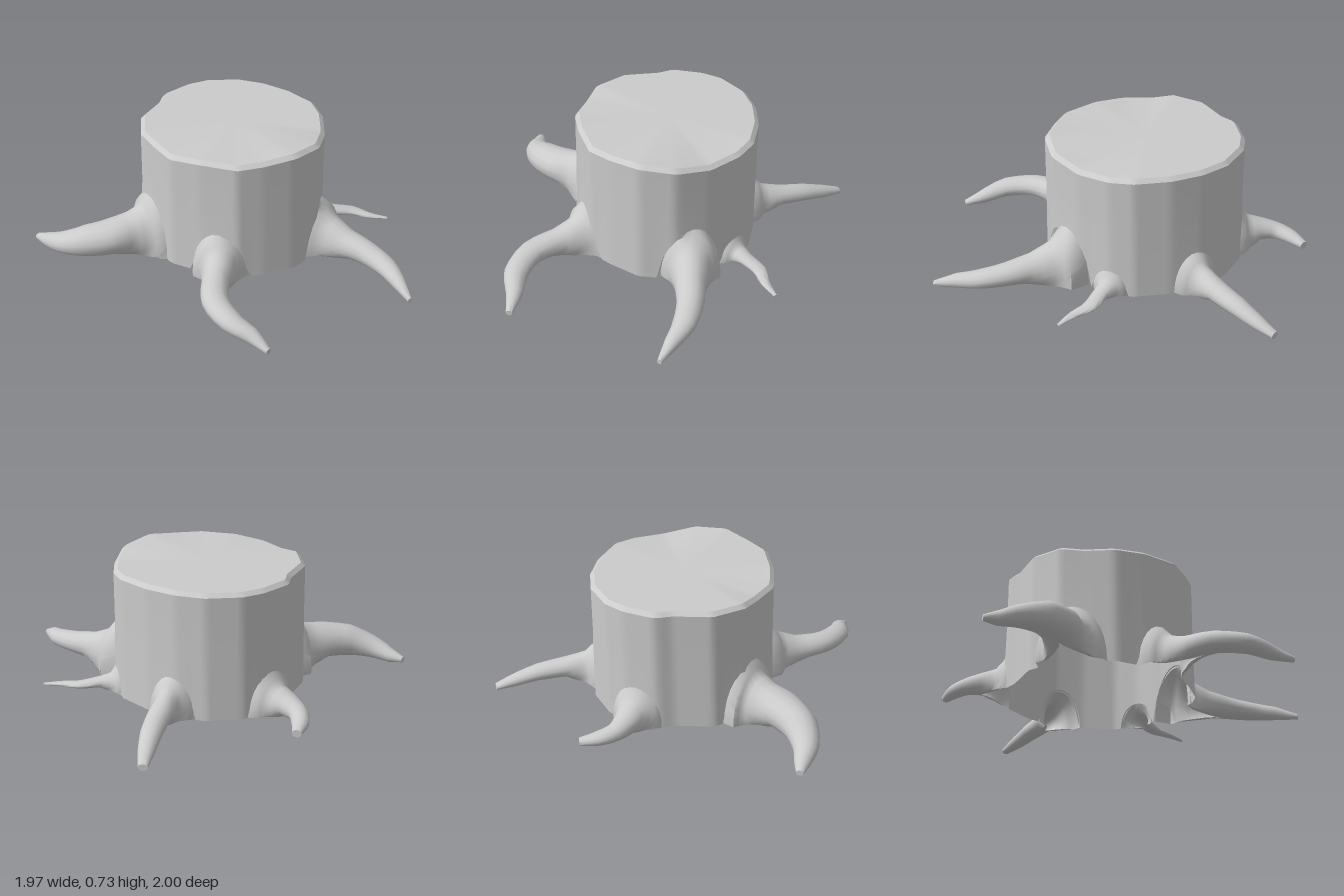
import * as THREE from 'three';
import { toCreasedNormals } from 'three/addons/utils/BufferGeometryUtils.js';

// The stump is a hollow shell, so both sides show
const material = new THREE.MeshStandardMaterial({ color: 0xcccccc, side: THREE.DoubleSide });
const CX = 0.1, CZ = -0.15, BASE = 0.03;

// Trunk outline, clockwise from above: x, z and height offset of the cut edge
const outline = [
  [0.10, -0.66, 0], [0.28, -0.62, 0], [0.41, -0.53, 0], [0.52, -0.40, 0], [0.605, -0.23, 0],
  [0.61, -0.10, -0.01], [0.56, 0.08, -0.02], [0.47, 0.25, 0.005], [0.31, 0.35, 0.018],
  [0.13, 0.365, 0.005], [-0.01, 0.36, 0], [-0.18, 0.25, 0], [-0.31, 0.13, -0.015],
  [-0.36, -0.03, -0.015], [-0.40, -0.15, 0], [-0.36, -0.33, 0], [-0.22, -0.48, 0],
  [-0.18, -0.56, 0], [-0.02, -0.64, 0],
];

// Root stations: x, z, bottom, top, width; the first lies on the trunk wall
const roots = {
  rightRoot: [
    [-0.385, -0.09, 0.03, 0.35, 0.40], [-0.43, -0.08, 0.03, 0.28, 0.27], [-0.50, -0.07, 0.04, 0.25, 0.225],
    [-0.61, -0.055, 0.04, 0.23, 0.225], [-0.75, -0.075, 0.035, 0.205, 0.19], [-0.86, -0.14, 0.03, 0.15, 0.14],
    [-0.93, -0.23, 0.025, 0.10, 0.085], [-0.975, -0.29, 0.04, 0.07, 0.04],
  ],
  frontRoot: [
    [-0.09, 0.305, 0.03, 0.29, 0.33], [-0.11, 0.37, 0.035, 0.22, 0.20], [-0.155, 0.47, 0.04, 0.175, 0.15],
    [-0.20, 0.63, 0.045, 0.155, 0.145], [-0.16, 0.79, 0.03, 0.13, 0.13], [-0.08, 0.89, 0.01, 0.09, 0.09],
    [-0.025, 0.99, 0, 0.03, 0.035],
  ],
  frontLeftRoot: [
    [0.515, 0.165, 0.03, 0.33, 0.36], [0.56, 0.225, 0.035, 0.245, 0.23], [0.63, 0.32, 0.04, 0.19, 0.165],
    [0.71, 0.43, 0.04, 0.16, 0.14], [0.77, 0.56, 0.035, 0.13, 0.12], [0.79, 0.68, 0.025, 0.10, 0.08],
    [0.805, 0.80, 0.015, 0.045, 0.025],
  ],
  leftRoot: [
    [0.605, -0.10, 0.03, 0.17, 0.20], [0.64, -0.095, 0.04, 0.12, 0.115], [0.70, -0.08, 0.045, 0.10, 0.085],
    [0.80, -0.06, 0.045, 0.08, 0.08], [0.88, 0, 0.04, 0.065, 0.05], [0.975, 0.045, 0.04, 0.05, 0.02],
  ],
  backLeftRoot: [
    [0.43, -0.51, 0.03, 0.25, 0.26], [0.465, -0.555, 0.035, 0.195, 0.14], [0.53, -0.645, 0.05, 0.16, 0.125],
    [0.61, -0.78, 0.04, 0.13, 0.11], [0.665, -0.89, 0.02, 0.09, 0.085], [0.71, -0.99, 0.01, 0.045, 0.05],
  ],
  backRoot: [
    [-0.07, -0.61, 0.03, 0.26, 0.30], [-0.095, -0.66, 0.04, 0.19, 0.19], [-0.125, -0.725, 0.045, 0.165, 0.14],
    [-0.145, -0.81, 0.05, 0.14, 0.105], [-0.12, -0.90, 0.05, 0.12, 0.09], [-0.07, -0.98, 0.055, 0.095, 0.05],
  ],
};

// Skin a list of point rows and close the last one with a fan.
function loft(name, rows, crease) {
  const pos = [];
  const tri = (...pts) => pts.forEach((p) => pos.push(p.x, p.y, p.z));
  const last = rows[rows.length - 1];
  const centre = last.reduce((s, p) => s.add(p), new THREE.Vector3()).divideScalar(last.length);
  for (let i = 0; i < last.length - 1; i++) {
    for (let r = 0; r < rows.length - 1; r++) {
      const a = rows[r], b = rows[r + 1];
      tri(a[i], b[i], b[i + 1]);
      tri(a[i], b[i + 1], a[i + 1]);
    }
    tri(centre, last[i + 1], last[i]);
  }
  const geometry = new THREE.BufferGeometry();
  geometry.setAttribute('position', new THREE.Float32BufferAttribute(pos, 3));
  const mesh = new THREE.Mesh(toCreasedNormals(geometry, crease), material);
  mesh.name = name;
  return mesh;
}

// Radius and edge offset of the trunk outline in a given direction
function wallAt(angle) {
  const dx = Math.cos(angle), dz = Math.sin(angle);
  for (let i = 0; i < outline.length; i++) {
    const [ax, az, ay] = outline[i], [bx, bz, by] = outline[(i + 1) % outline.length];
    const sa = dx * (az - CZ) - dz * (ax - CX), sb = dx * (bz - CZ) - dz * (bx - CX);
    if (sa > 0 || sb <= 0) continue;
    const f = sa / (sa - sb);
    const x = ax + (bx - ax) * f - CX, z = az + (bz - az) * f - CZ;
    return { radius: Math.hypot(x, z), offset: ay + (by - ay) * f };
  }
}

// Lower edge of the trunk: arches up where a hollow root joins
function lowerEdge(angle) {
  let y = BASE;
  for (const [[x, z, , top, width]] of Object.values(roots)) {
    const gap = angle - Math.atan2(z - CZ, x - CX);
    const away = Math.atan2(Math.sin(gap), Math.cos(gap));
    const u = away / (width * 0.9);
    if (Math.abs(u) < 1) y = Math.max(y, BASE + (top - BASE) * 0.95 * Math.sqrt(1 - u * u));
  }
  return y;
}

function trunk() {
  const count = 120;
  const ring = (scale, height) => Array.from({ length: count + 1 }, (_, i) => {
    const angle = ((i % count) / count) * Math.PI * 2;
    const { radius, offset } = wallAt(angle);
    const r = radius * scale;
    return new THREE.Vector3(CX + Math.cos(angle) * r, height(angle, offset), CZ + Math.sin(angle) * r);
  });
  return loft('trunk', [
    ring(1.01, (a) => lowerEdge(a)),
    ring(1, () => 0.42),
    ring(1, (a, offset) => 0.69 + offset),
    ring(0.955, (a, offset) => 0.71 + offset),
  ], 0.6);
}

// A root starts as an open arch on the trunk and closes into a tapering tube
function root(name, stations) {
  const path = new THREE.CatmullRomCurve3(stations.map(([x, z]) => new THREE.Vector3(x, 0, z)));
  const spans = stations.length - 1, steps = spans * 3, sides = 14;
  const { lerp } = THREE.MathUtils;
  const rows = [];
  for (let k = 0; k <= steps; k++) {
    const t = k / steps;
    const i = Math.min(Math.floor(t * spans), spans - 1), f = t * spans - i;
    const [low, high, width] = [2, 3, 4].map((c) => lerp(stations[i][c], stations[i + 1][c], f));
    const p = path.getPoint(t), d = path.getTangent(t);
    const open = Math.max(0, 1 - t / 0.4);
    const sweep = Math.PI * (1 - open / 2);
    const mid = lerp((low + high) / 2, low, open), half = high - mid;
    const row = [];
    for (let s = 0; s <= sides; s++) {
      const a = lerp(-sweep, sweep, s / sides);
      const across = -Math.sin(a) * width / 2;
      const q = new THREE.Vector3(p.x - d.z * across, Math.max(low, mid + Math.cos(a) * half), p.z + d.x * across);
      if (k === 0) {
        // Lay the first row on the trunk wall
        const angle = Math.atan2(q.z - CZ, q.x - CX), { radius } = wallAt(angle);
        q.x = CX + Math.cos(angle) * radius;
        q.z = CZ + Math.sin(angle) * radius;
      }
      row.push(q);
    }
    rows.push(row);
  }
  return loft(name, rows, 1.0);
}

export function createModel() {
  const stump = new THREE.Group();
  stump.name = 'treeStump';
  stump.add(trunk());
  for (const [name, stations] of Object.entries(roots)) stump.add(root(name, stations));
  return stump;
}
